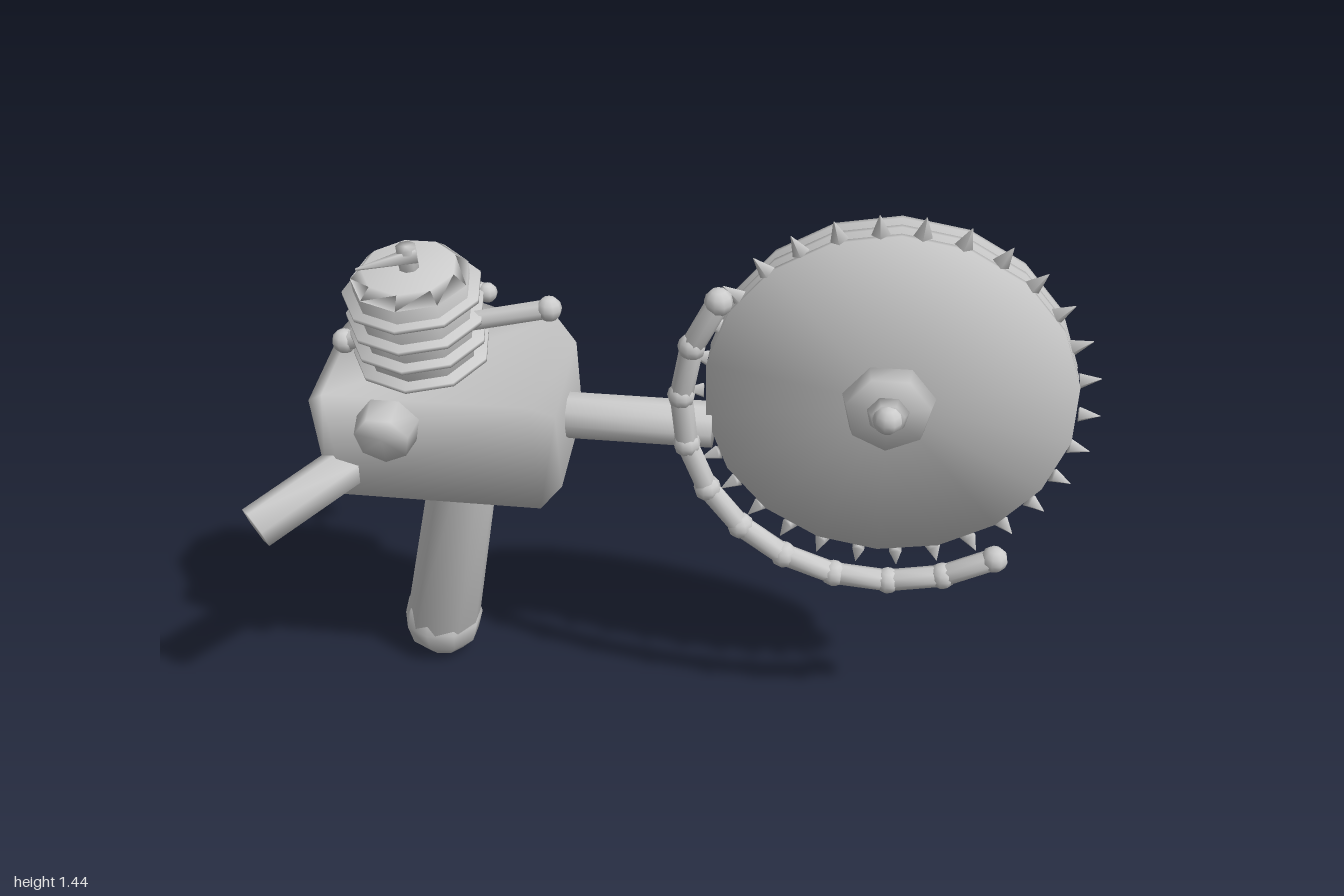
import * as THREE from 'three';
import { mergeVertices } from 'three/addons/utils/BufferGeometryUtils.js';

const steel = new THREE.MeshStandardMaterial({ color: 0xcccccc });
steel.name = 'steel grey';
const V = (x, y, z) => new THREE.Vector3(x, y, z);

function add(parent, name, geo, pos = V(0, 0, 0)) {
  const m = new THREE.Mesh(geo, steel);
  m.name = name;
  m.position.copy(pos);
  parent.add(m);
  return m;
}

// Share vertices across edges so the shading runs round them
function soften(geo) {
  geo.deleteAttribute('normal');
  geo.deleteAttribute('uv');
  const g = mergeVertices(geo);
  g.computeVertexNormals();
  return g;
}

// Cylinder between two points
function rod(parent, name, a, b, r0, r1 = r0, sides = 8) {
  const d = b.clone().sub(a);
  const m = add(parent, name, soften(new THREE.CylinderGeometry(r1, r0, d.length(), sides)), a.clone().lerp(b, 0.5));
  m.quaternion.setFromUnitVectors(V(0, 1, 0), d.normalize());
  return m;
}

const ball = (parent, name, p, r) => add(parent, name, new THREE.SphereGeometry(r, 9, 6), p);

// Turned plate whose rim normals lean outward
function plate(r, h, sides) {
  const pts = [[0, -h], [r, -h], [r, h], [0, h]].map(p => new THREE.Vector2(p[0], p[1] / 2));
  const g = new THREE.LatheGeometry(pts, sides);
  const { position: p, normal: n } = g.attributes;
  for (let i = 0; i < p.count; i++) {
    const v = V(p.getX(i) / r, Math.sign(p.getY(i)), p.getZ(i) / r).normalize();
    n.setXYZ(i, v.x, v.y, v.z);
  }
  return g;
}

// Box casing lofted along x with tapered ends
function casing() {
  const sections = [[-0.295, 0.11, 0.14], [-0.245, 0.158, 0.172], [0.245, 0.158, 0.172], [0.295, 0.11, 0.14]];
  const rings = sections.map(([x, h, d]) => [V(x, -h, d), V(x, h, d), V(x, h, -d), V(x, -h, -d)]);
  const pts = [];
  const quad = (a, b, c, d) => pts.push(a, b, c, a, c, d);
  for (let i = 0; i < 3; i++) {
    for (let j = 0; j < 4; j++) {
      const k = (j + 1) % 4;
      quad(rings[i][j], rings[i + 1][j], rings[i + 1][k], rings[i][k]);
    }
  }
  quad(...rings[0]);
  quad(...rings[3].slice().reverse());
  return soften(new THREE.BufferGeometry().setFromPoints(pts));
}

function buildEngine() {
  const g = new THREE.Group();
  g.name = 'engine';
  g.position.set(-0.545, 0.86, 0.025);
  g.rotation.x = 0.21;
  add(g, 'engineCasing', casing());
  // Finned cylinder head
  const x = -0.045;
  rod(g, 'cylinderCore', V(x, 0.14, 0), V(x, 0.385, 0), 0.13, 0.138, 9);
  rod(g, 'cylinderCap', V(x, 0.385, 0), V(x, 0.41, 0), 0.138, 0.11, 9);
  for (const y of [0.175, 0.23, 0.285, 0.345]) {
    add(g, 'coolingFin', plate(0.163, 0.01, 9), V(x, y, 0));
  }
  rod(g, 'sparkPlug', V(x, 0.4, 0), V(x, 0.465, 0), 0.024);
  rod(g, 'plugLead', V(x + 0.02, 0.445, 0), V(x - 0.1, 0.445, 0.07), 0.022, 0.003, 4);
  // Front knob and rear starter housing
  rod(g, 'frontKnob', V(-0.095, 0.085, 0.15), V(-0.095, 0.085, 0.235), 0.08, 0.066, 7);
  rod(g, 'starterNeck', V(-0.005, 0, -0.16), V(-0.005, 0, -0.2), 0.11, 0.11, 9);
  rod(g, 'starterHousing', V(-0.005, 0, -0.195), V(-0.005, 0, -0.25), 0.155, 0.145, 9);
  return g;
}

function buildSaw() {
  const g = new THREE.Group();
  g.name = 'saw';
  g.position.set(0.51, 0.97, 0.015);
  g.rotation.x = 0.09;
  // Stacked blades
  for (const z of [-0.043, 0, 0.043]) {
    add(g, 'blade', plate(0.43, 0.012, 18), V(0, 0, z)).rotation.x = Math.PI / 2;
  }
  // Teeth around the front blade
  for (let i = 0; i < 30; i++) {
    const a = i / 30 * Math.PI * 2;
    const d = V(Math.cos(a), Math.sin(a), 0);
    const base = d.clone().multiplyScalar(0.43).setZ(0.043);
    const tip = d.clone().multiplyScalar(0.478).setZ(0.045);
    rod(g, 'tooth', base, tip, 0.021, 0.001, 4);
  }
  // Hub
  rod(g, 'hubNut', V(0, -0.005, 0.03), V(0, -0.005, 0.09), 0.115, 0.1, 7);
  rod(g, 'hubBolt', V(0, -0.005, 0.09), V(0, -0.005, 0.11), 0.05, 0.04, 7);
  ball(g, 'hubTip', V(0, -0.005, 0.11), 0.035);
  // Chain guard of jointed links
  const n = 10;
  const joints = Array.from({ length: n + 1 }, (_, i) => {
    const a = (145 + i / n * 161) * Math.PI / 180;
    return V(0.475 * Math.cos(a), 0.48 * Math.sin(a), 0.107);
  });
  joints.forEach((p, i) => {
    ball(g, 'chainJoint', p, 0.033);
    if (i) rod(g, 'chainLink', joints[i - 1], p, 0.027);
  });
  return g;
}

export function createModel() {
  const model = new THREE.Group();
  model.name = 'powerSaw';
  model.add(buildEngine(), buildSaw());

  // Arm joining engine and saw
  rod(model, 'arm', V(-0.28, 0.857, 0.025), V(0.1, 0.857, 0.025), 0.057, 0.057, 10);

  // Grip with rounded ends
  const top = V(-0.525, 0.69, 0.0), bottom = V(-0.66, 0.108, -0.132);
  rod(model, 'grip', bottom, top, 0.1, 0.085, 10);
  ball(model, 'gripCollar', top, 0.092);
  ball(model, 'gripPommel', bottom, 0.108);

  // Exhaust pipe
  rod(model, 'exhaust', V(-0.76, 0.755, 0.13), V(-0.96, 0.655, 0.315), 0.055, 0.055, 6);

  // Throttle rod with ball ends
  const left = V(-0.275, 1.165, 0.085), right = V(-0.78, 1.04, 0.065);
  rod(model, 'throttleRod', right, left, 0.024);
  ball(model, 'throttleBall', left, 0.03);
  ball(model, 'throttleBall', right, 0.03);

  // Starter pull
  const a = V(-0.67, 1.035, -0.34), b = V(-0.52, 1.02, -0.295);
  rod(model, 'starterCord', V(-0.55, 0.9, -0.21), a.clone().lerp(b, 0.6), 0.008);
  rod(model, 'starterPull', a, b, 0.022);
  ball(model, 'starterPullEnd', a, 0.026);
  ball(model, 'starterPullEnd', b, 0.026);
  return model;
}
